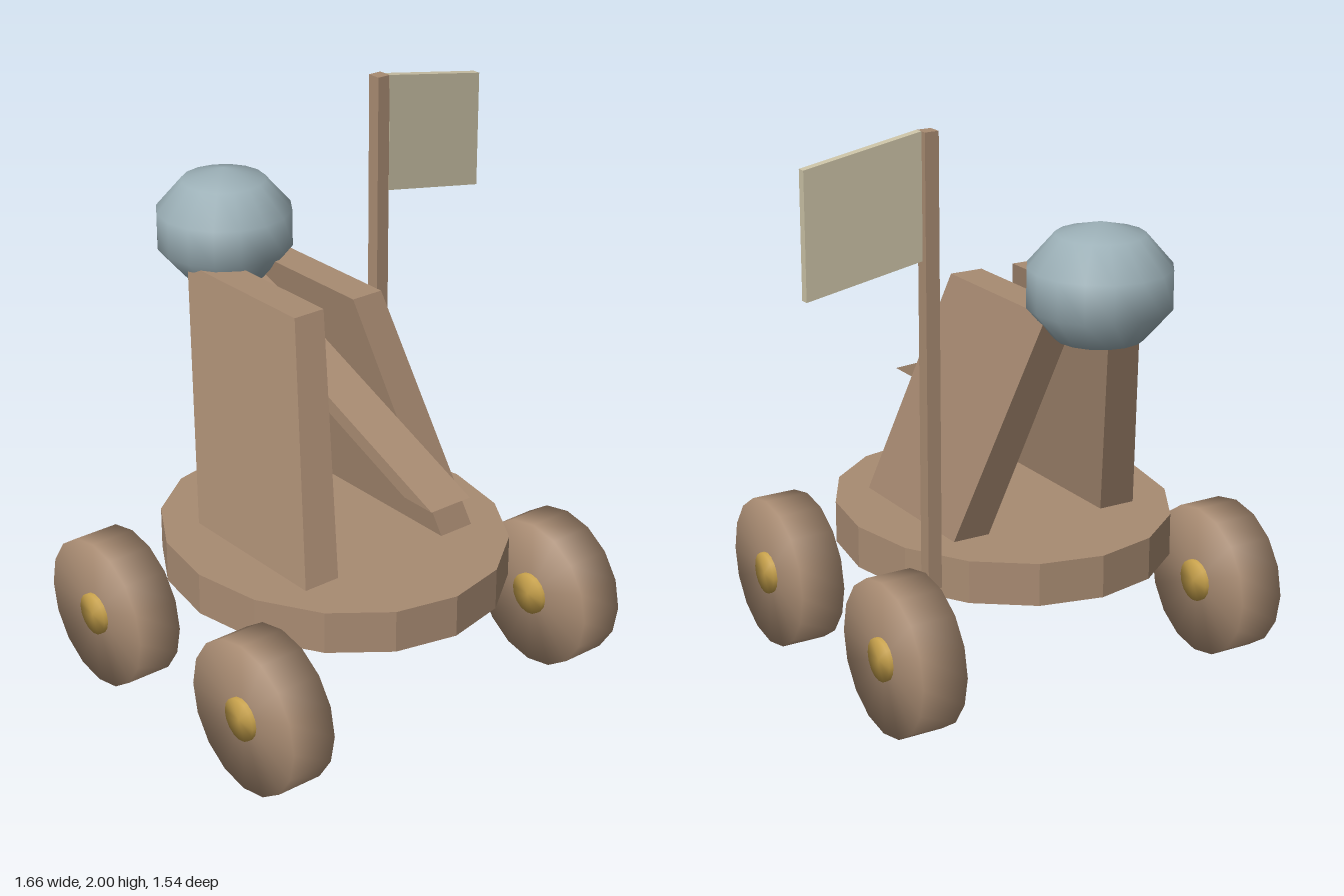
import * as THREE from 'three';
import { mergeVertices } from 'three/addons/utils/BufferGeometryUtils.js';

const mat = (name, color) => new THREE.MeshStandardMaterial({ name, color });

export function createModel() {
  const wood = mat('wood', 0xa88b72);
  const stone = mat('stone', 0x9bafb6);
  const brass = mat('brass', 0xc8a24c);
  const cloth = mat('cloth', 0xcbc2a6);
  const CX = -0.1; // centre line of the machine

  const model = new THREE.Group();
  model.name = 'catapult';
  const add = (name, geometry, material) => {
    const mesh = new THREE.Mesh(geometry, material);
    mesh.name = name;
    model.add(mesh);
    return mesh;
  };

  // unit box whose corners are moved by a rule; u, v, w run from 0 to 1
  const shapedBox = (rule) => {
    const g = new THREE.BoxGeometry(1, 1, 1);
    const p = g.attributes.position;
    for (let i = 0; i < p.count; i++) {
      p.setXYZ(i, ...rule(p.getX(i) + 0.5, p.getY(i) + 0.5, p.getZ(i) + 0.5));
    }
    g.computeVertexNormals();
    return g;
  };

  // cylinder along x with normals shared over the rim
  const softCylinder = (radius, width) => {
    let g = new THREE.CylinderGeometry(radius, radius, width, 16);
    g.deleteAttribute('uv');
    g.deleteAttribute('normal');
    g = mergeVertices(g);
    g.computeVertexNormals();
    return g.rotateZ(Math.PI / 2);
  };

  // oval platform with faceted rim
  const disc = new THREE.CylinderGeometry(1, 1, 0.15, 16).scale(0.575, 1, 0.65).toNonIndexed();
  disc.computeVertexNormals();
  add('platform', disc, wood).position.set(CX, 0.49, 0.075);

  // four wheels with hubs showing on both faces
  const wheelGeo = softCylinder(0.271, 0.165);
  const hubGeo = softCylinder(0.075, 0.195);
  for (const side of [1, -1]) {
    for (const z of [0.5, -0.35]) {
      const x = CX + side * 0.636;
      add('wheel', wheelGeo, wood).position.set(x, 0.273, z);
      add('hub', hubGeo, brass).position.set(x, 0.273, z);
    }
  }

  // two side walls, leaning inwards and backwards
  for (const side of [1, -1]) {
    add('sideWall', shapedBox((u, v, w) => {
      const k = side > 0 ? u : 1 - u; // 0 at the inner face
      const inner = 0.228 - 0.165 * v;
      const width = 0.137 - 0.016 * v;
      return [CX + side * (inner + k * width), 0.565 + 0.835 * v, -0.215 - 0.28 * v + 0.6 * w];
    }), wood);
  }

  // sloping throwing arm with level-cut ends
  add('throwingArm', shapedBox((u, v, w) => [
    CX - 0.08 + 0.165 * u,
    0.885 + 0.46 * (1 - w),
    0.545 + 0.135 * v - 1.13 * (1 - w),
  ]), wood);

  // boulder at the end of the arm
  add('boulder', new THREE.SphereGeometry(1, 16, 5).scale(0.252, 0.2125, 0.252), stone)
    .position.set(CX + 0.002, 1.4875, -0.53);

  // flag pole and slanted flag
  add('flagPole', new THREE.BoxGeometry(0.05, 1.55, 0.05), wood).position.set(0.385, 1.225, -0.271);
  add('flag', shapedBox((u, v, w) => [
    0.41 + 0.415 * u, 1.58 + 0.42 * v - 0.075 * u, -0.275 + 0.03 * w,
  ]), cloth);

  return model;
}
